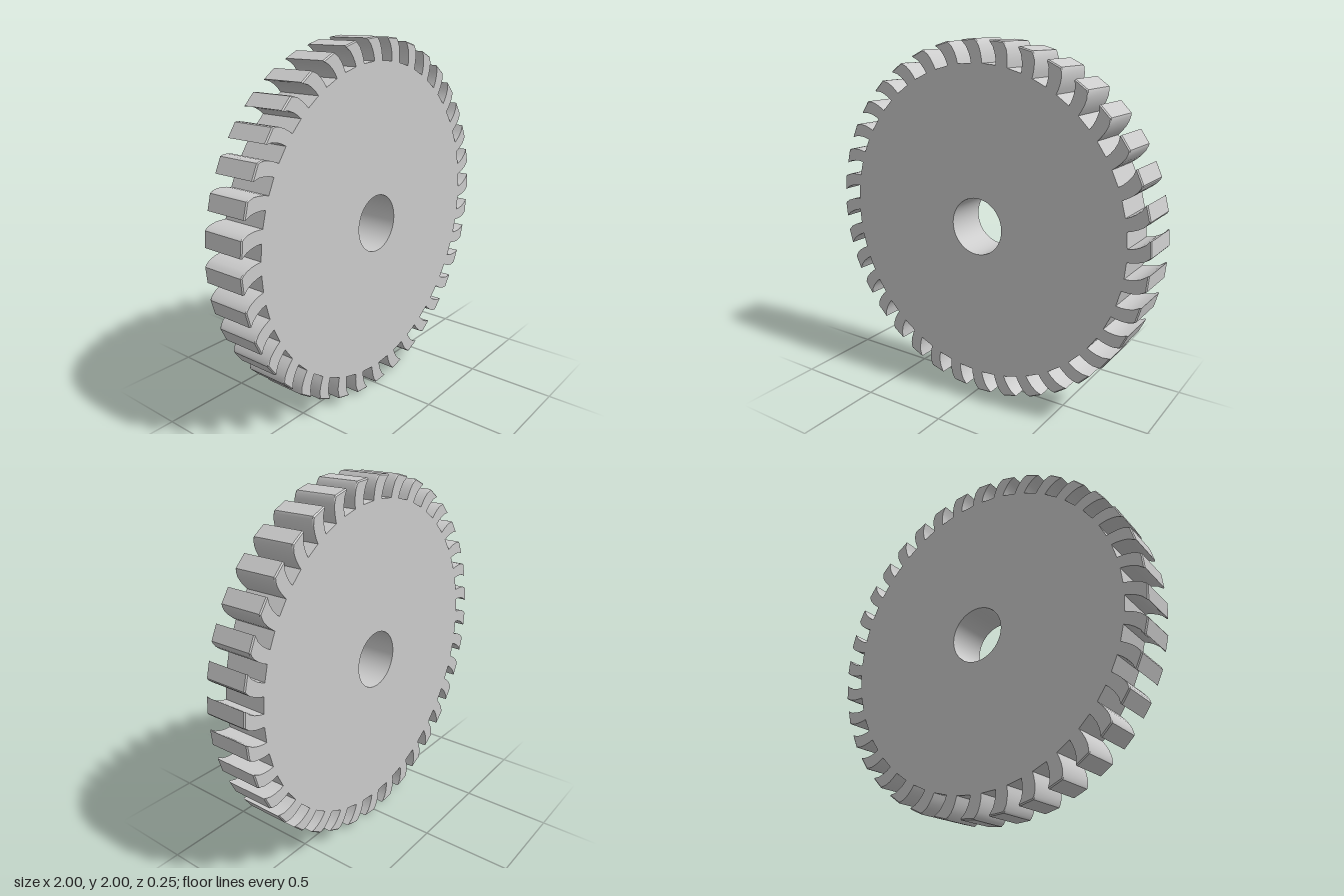
import * as THREE from 'three';
import { toCreasedNormals } from 'three/addons/utils/BufferGeometryUtils.js';

const TEETH = 36;
const HALF = 0.125;
const BEVEL = 0.006;
// One tooth as [radius, degrees clockwise from its pitch line]: hooked flanks, chamfered tip
const TOOTH = [
  [0.877, -2.0], [0.905, -2.3], [0.935, -2.9], [0.965, -3.8], [0.997, -5.2],
  [1.0, -0.5], [0.991, 0.1],
  [0.965, 1.0], [0.935, 1.7], [0.905, 2.15], [0.877, 2.4],
];

function gearShape() {
  const points = [];
  for (let i = 0; i < TEETH; i++) {
    for (const [r, deg] of TOOTH) {
      const a = THREE.MathUtils.degToRad(deg + (i * 360) / TEETH);
      points.push(new THREE.Vector2(r * Math.sin(a), r * Math.cos(a)));
    }
  }
  const shape = new THREE.Shape(points);
  shape.holes.push(new THREE.Path().absarc(0, 0, 0.16, 0, Math.PI * 2, false));
  return shape;
}

export function createModel() {
  const group = new THREE.Group();
  group.name = 'gearWheel';

  // Toothed disc with a round bore
  const geometry = new THREE.ExtrudeGeometry(gearShape(), {
    depth: 2 * HALF, steps: 3, bevelEnabled: false, curveSegments: 48,
  });
  geometry.translate(0, 0, -HALF);

  // Push the inner layers outward and pull in the face rims of the tooth tips: a fine bevel
  const p = geometry.attributes.position;
  for (let i = 0; i < p.count; i++) {
    const x = p.getX(i), y = p.getY(i), z = p.getZ(i);
    if (Math.abs(z) < HALF * 0.9) {
      p.setZ(i, Math.sign(z) * (HALF - BEVEL));
    } else if (Math.hypot(x, y) > 0.985) {
      p.setXY(i, x * (1 - BEVEL), y * (1 - BEVEL));
    }
  }

  const gear = new THREE.Mesh(
    toCreasedNormals(geometry, Math.PI / 7),
    new THREE.MeshStandardMaterial({ color: 0xcccccc }),
  );
  gear.name = 'toothedDisc';
  gear.position.y = 1;
  group.add(gear);
  return group;
}
